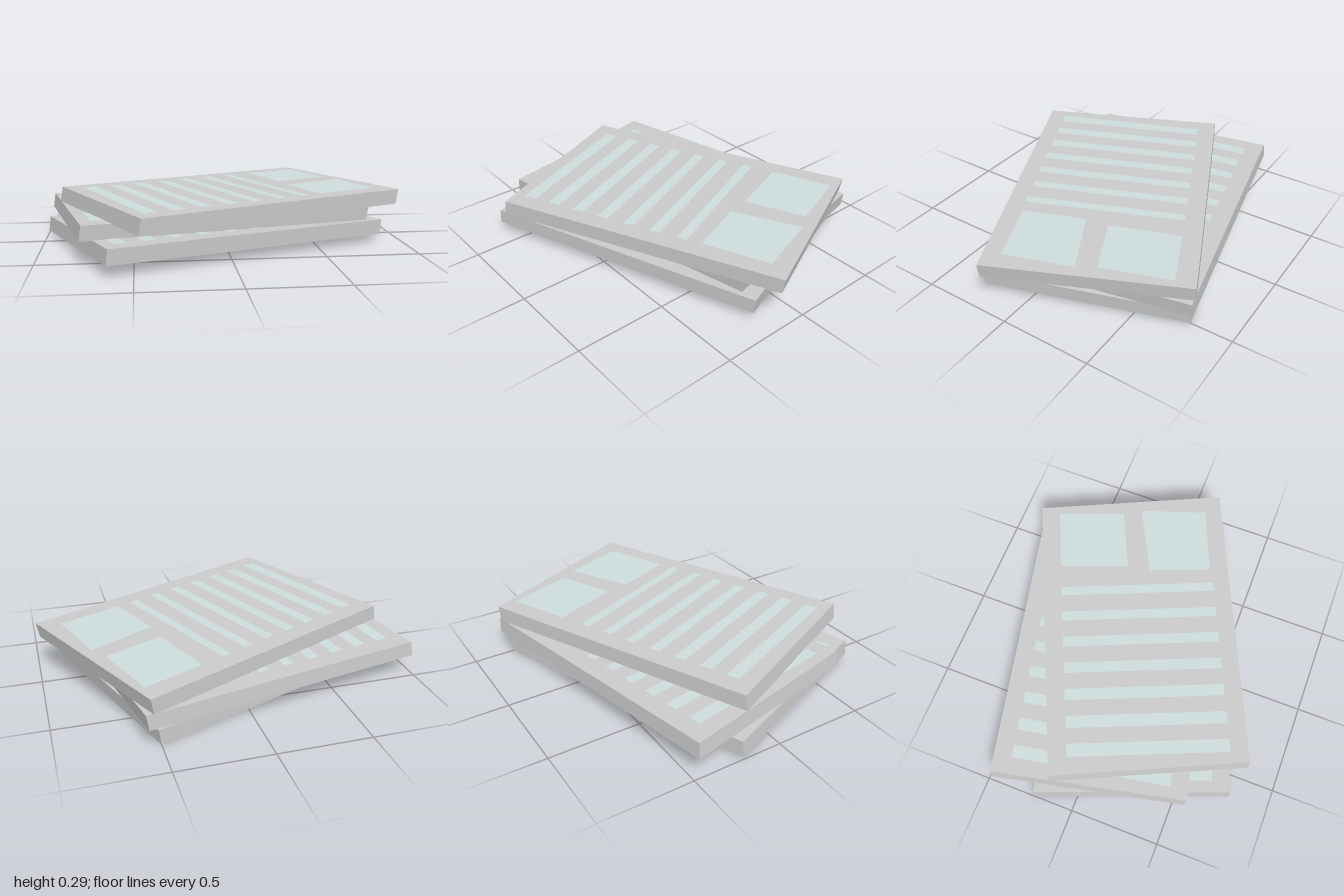
import * as THREE from 'three';

const grey = new THREE.MeshStandardMaterial({ color: 0xcccccc, flatShading: true });
const pale = new THREE.MeshStandardMaterial({ color: 0xcfdddd });

const LENGTH = 1.6, WIDTH = 1.06;

// Each slab: top corners back left, back right and front left, and the leaning thickness
const slabs = [
  { name: 'bottomSlab', a: [-0.99, 0.098, -0.22], b: [0.51, 0.084, -0.775], d: [-0.62, 0.144, 0.775], up: [0.01, 0.083, 0] },
  { name: 'middleSlab', a: [-0.983, 0.193, -0.465], b: [0.574, 0.194, -0.807], d: [-0.755, 0.213, 0.57], up: [0.013, 0.082, 0.004] },
  { name: 'topSlab', a: [-0.905, 0.286, -0.15], b: [0.55, 0.28, -0.813], d: [-0.46, 0.294, 0.813], up: [0.014, 0.083, -0.003] },
];

// Flat four-cornered panel, points given along the slab's length and width
const quad = (points) => new THREE.Shape(points.map(([u, v]) => new THREE.Vector2(u / LENGTH, -v / WIDTH)));

// Seven slightly slanted stripes and two larger panels
function panelShapes() {
  const shapes = [
    quad([[1.21, 0.10], [1.557, 0.105], [1.523, 0.483], [1.18, 0.487]]),
    quad([[1.145, 0.61], [1.539, 0.59], [1.499, 0.965], [1.127, 0.956]]),
  ];
  for (let i = 0; i < 7; i++) {
    const u = 0.093 + i * 0.155, w = 0.07 - i * 0.003;
    shapes.push(quad([[u, 0.10], [u + w, 0.10], [u + w - 0.032, 0.965], [u - 0.032, 0.965]]));
  }
  return shapes;
}

function makeSlab({ name, a, b, d, up }) {
  const group = new THREE.Group();
  group.name = name;
  const corner = new THREE.Vector3(...a);
  const along = new THREE.Vector3(...b).sub(corner);
  const across = new THREE.Vector3(...d).sub(corner);
  const rise = new THREE.Vector3(...up);

  // Slab body, a unit box skewed onto the corners
  const body = new THREE.BoxGeometry(1, 1, 1).translate(0.5, -0.5, 0.5);
  body.applyMatrix4(new THREE.Matrix4().makeBasis(along, rise, across).setPosition(corner));
  const bodyMesh = new THREE.Mesh(body, grey);
  bodyMesh.name = name + 'Body';

  // Pale panels lying just above the top face
  const normal = across.clone().cross(along).normalize();
  const panels = new THREE.ShapeGeometry(panelShapes());
  panels.applyMatrix4(new THREE.Matrix4()
    .makeBasis(along, across.clone().negate(), normal)
    .setPosition(corner.clone().addScaledVector(normal, 0.0015)));
  const panelMesh = new THREE.Mesh(panels, pale);
  panelMesh.name = name + 'Panels';

  group.add(bodyMesh, panelMesh);
  return group;
}

export function createModel() {
  const model = new THREE.Group();
  model.name = 'slabStack';
  slabs.forEach((slab) => model.add(makeSlab(slab)));
  return model;
}
